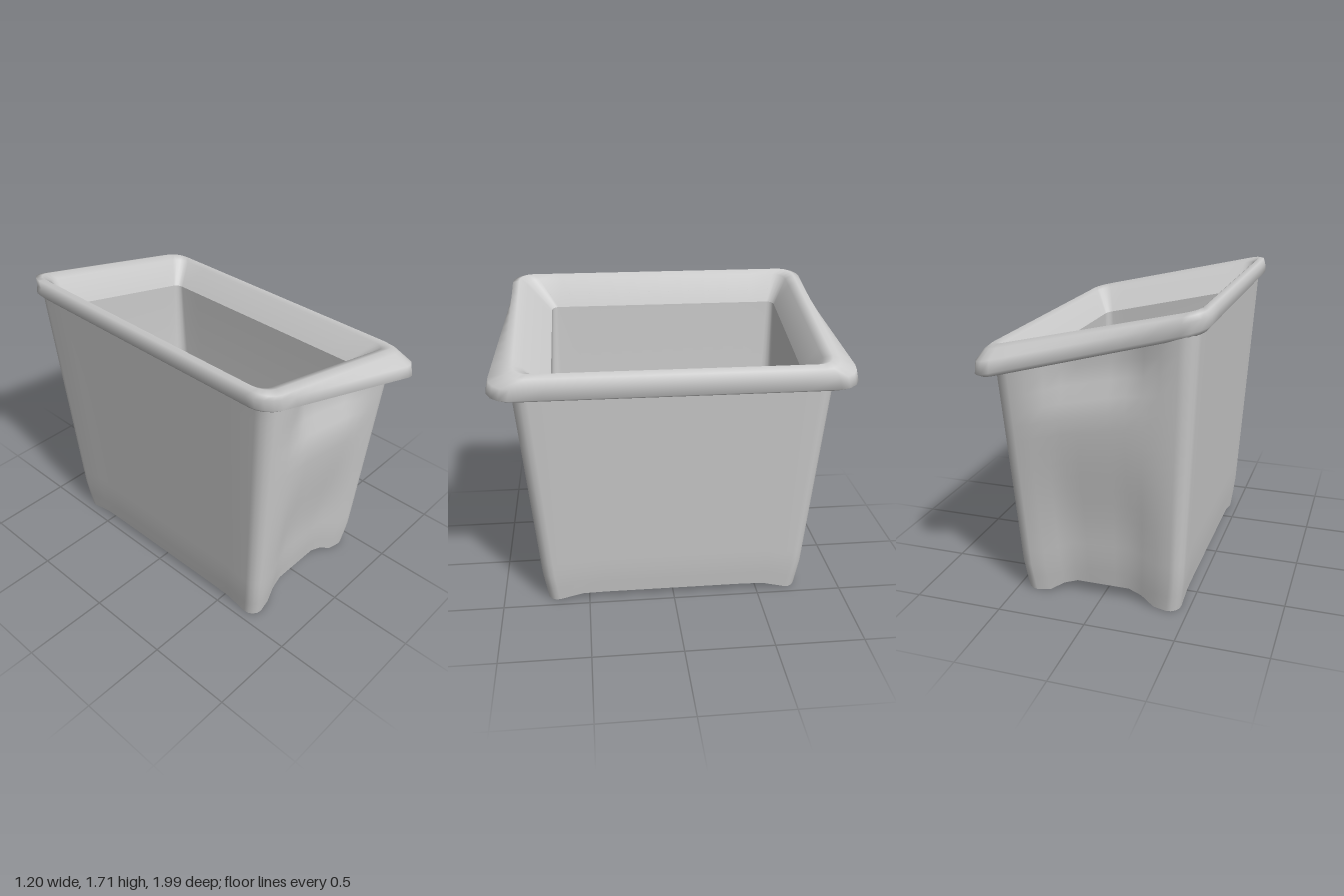
import * as THREE from 'three';

const { lerp, smoothstep } = THREE.MathUtils;
const mat = new THREE.MeshStandardMaterial({ color: 0xcccccc, side: THREE.DoubleSide });

// Rounded rectangle, counter-clockwise seen from above, same point count every time
function outline(hx, hz, r) {
  const pts = [], arc = 5, side = 10;
  const signs = [[1, 1], [-1, 1], [-1, -1], [1, -1]];
  signs.forEach(([sx, sz], q) => {
    for (let i = 0; i < arc; i++) {
      const a = (q + i / (arc - 1)) * Math.PI / 2;
      pts.push([sx * (hx - r) + r * Math.cos(a), -sz * (hz - r) - r * Math.sin(a)]);
    }
    const [nx, nz] = signs[(q + 1) % 4];
    const a = (q + 1) * Math.PI / 2;
    const end = [nx * (hx - r) + r * Math.cos(a), -nz * (hz - r) - r * Math.sin(a)];
    const start = pts[pts.length - 1];
    for (let i = 1; i < side; i++) {
      pts.push([lerp(start[0], end[0], i / side), lerp(start[1], end[1], i / side)]);
    }
  });
  return pts;
}

// ring: half sizes, corner radius, height rule y(x, z), optional reshaping of z and x shift
function ring({ hx, hz, r, y, cx = 0, cz = 0, bend = (x, z) => z }) {
  return outline(hx, hz, r).map(([x, z]) => [x + cx, y(x + cx, z), bend(x, z) + cz]);
}

// Skin a stack of rings into one smooth surface
function loft(name, rings) {
  const n = rings[0].length, index = [];
  for (let i = 0; i < rings.length - 1; i++) {
    for (let j = 0; j < n; j++) {
      const a = i * n + j, b = i * n + (j + 1) % n;
      index.push(a, b, b + n, a, b + n, a + n);
    }
  }
  const geo = new THREE.BufferGeometry();
  geo.setAttribute('position', new THREE.Float32BufferAttribute(rings.flat(2), 3));
  geo.setIndex(index);
  geo.computeVertexNormals();
  const mesh = new THREE.Mesh(geo, mat);
  mesh.name = name;
  return mesh;
}

// Height rules: sloping rim planes and the arched foot line
const rimUnder = x => 1.465 - 0.25 * x;
const rimCrest = x => 1.595 - 0.23 * x;
const footLine = (x, z) => 0.01
  + 0.07 * (1 - smoothstep(Math.abs(x), 0.17, 0.33))
  + 0.04 * (1 - smoothstep(Math.abs(z), 0.5, 0.72));

// Push the middle of the front and back walls inward
const dent = depth => (x, z) =>
  z - Math.sign(z) * depth * (1 - smoothstep(Math.abs(x), 0.15, 0.4)) * smoothstep(Math.abs(z), 0.5, 0.7);

// Ends of the rim splay out toward the low side
const splay = (x, z) => z * (1 + 0.065 * x / 0.6);

export function createModel() {
  const bin = new THREE.Group();
  bin.name = 'slopedBin';

  // Outer walls, tapering to the feet, with hand recesses below the rim
  const walls = [];
  for (let i = 0; i <= 16; i++) {
    const t = i / 16;
    const depth = 0.05 * (1 - smoothstep(t, 0.2, 0.72)) + 0.07 * smoothstep(t, 0.76, 0.93);
    const round = 0.03 * (1 - smoothstep(t, 0, 0.12));
    walls.push(ring({
      hx: lerp(0.465, 0.545, t) - round * 0.4,
      hz: lerp(0.755, 0.875, t) - round * 0.4,
      r: lerp(0.07, 0.09, t),
      cx: -0.012 * t,
      y: (x, z) => lerp(footLine(x, z), rimUnder(x) + 0.02, t),
      bend: dent(depth),
    }));
  }
  bin.add(loft('walls', walls));

  // Hollow underside
  bin.add(loft('underside', [
    ring({ hx: 0.002, hz: 0.3, r: 0.001, y: () => 0.14 }),
    ring({ hx: 0.34, hz: 0.62, r: 0.06, y: () => 0.14 }),
    ring({ hx: 0.39, hz: 0.68, r: 0.07, y: (x, z) => footLine(x, z) + 0.03, bend: dent(0.05) }),
    ring({ hx: 0.453, hz: 0.743, r: 0.07, y: footLine, bend: dent(0.05) }),
  ]));

  // Rolled rim: underside, outer band, crest and inner lip
  bin.add(loft('rim', [
    ring({ hx: 0.5, hz: 0.8, r: 0.08, y: x => rimUnder(x) + 0.02 }),
    ring({ hx: 0.57, hz: 0.91, r: 0.1, y: x => rimUnder(x) - 0.005, bend: splay }),
    ring({ hx: 0.6, hz: 0.945, r: 0.12, y: x => rimUnder(x) + 0.02, bend: splay }),
    ring({ hx: 0.6, hz: 0.93, r: 0.12, y: x => lerp(rimUnder(x), rimCrest(x), 0.6), bend: splay }),
    ring({ hx: 0.585, hz: 0.89, r: 0.1, y: x => rimCrest(x) - 0.015 }),
    ring({ hx: 0.56, hz: 0.85, r: 0.08, y: rimCrest }),
    ring({ hx: 0.53, hz: 0.8, r: 0.07, y: x => rimCrest(x) - 0.02 }),
    ring({ hx: 0.455, hz: 0.695, r: 0.04, cx: -0.02, cz: -0.035, y: x => rimCrest(x) - 0.17 }),
  ]));

  // Inner walls and floor
  bin.add(loft('liner', [
    ring({ hx: 0.455, hz: 0.695, r: 0.04, cx: -0.02, cz: -0.035, y: x => rimCrest(x) - 0.17 }),
    ring({ hx: 0.455, hz: 0.71, r: 0.06, cx: -0.01, cz: -0.02, y: x => 0.9 - 0.1 * x }),
    ring({ hx: 0.42, hz: 0.68, r: 0.08, y: () => 0.32 }),
    ring({ hx: 0.39, hz: 0.65, r: 0.08, y: () => 0.21 }),
    ring({ hx: 0.31, hz: 0.57, r: 0.08, y: () => 0.17 }),
    ring({ hx: 0.002, hz: 0.3, r: 0.001, y: () => 0.16 }),
  ]));

  return bin;
}
